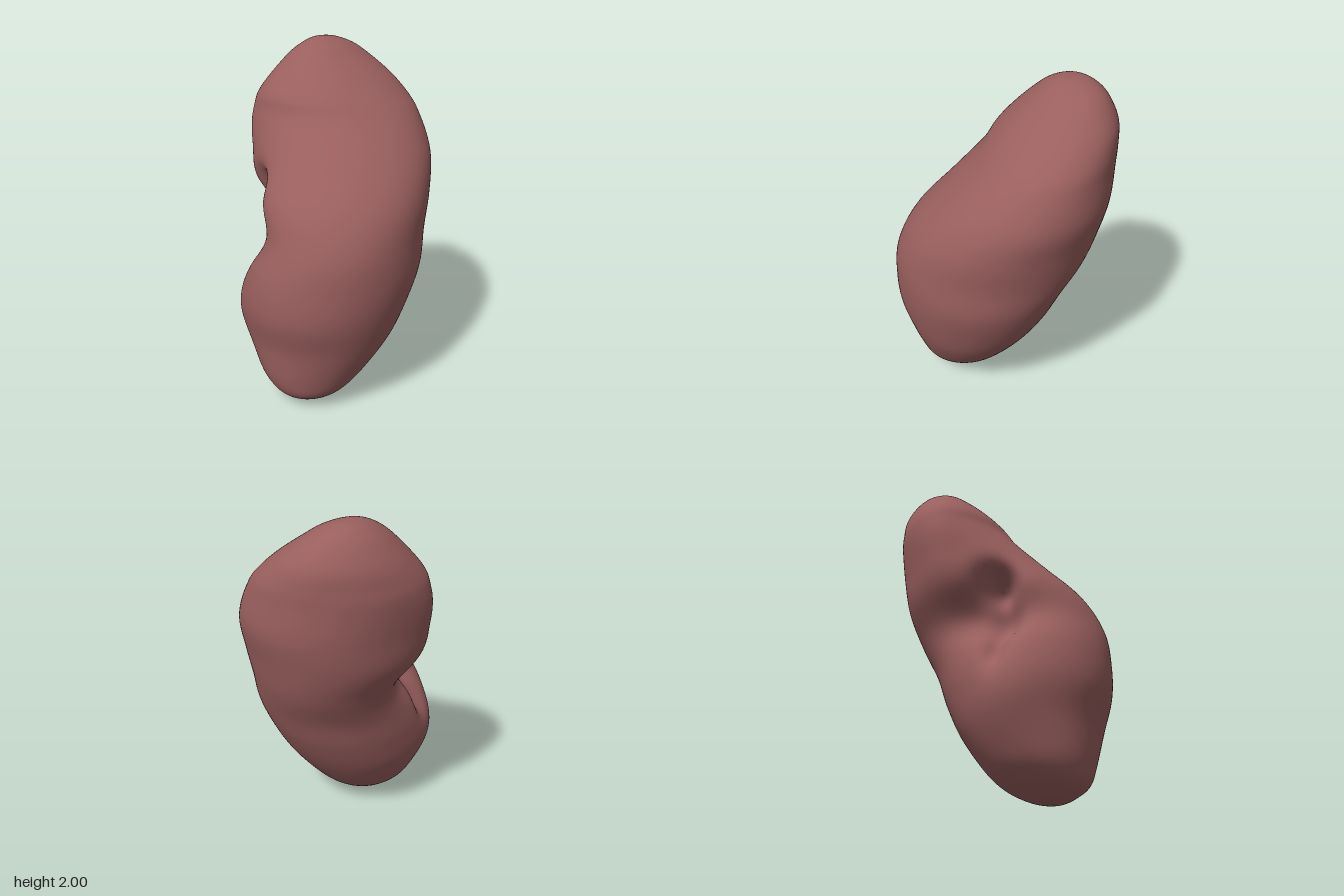
import * as THREE from 'three';

// Horizontal sections of the body: y, xMin, xMax, zMin, zMax, skew.
// Positive skew lengthens a section towards the notch, negative skew across it.
const LEVELS = [
  [0, 0.13, 0.13, 0.31, 0.31, 0],
  [0.01, 0.055, 0.2, 0.23, 0.38, 0],
  [0.045, -0.02, 0.27, 0.13, 0.45, 0],
  [0.1, -0.11, 0.34, 0.04, 0.51, 0],
  [0.2, -0.2, 0.4, -0.07, 0.55, 0.05],
  [0.4, -0.3, 0.49, -0.23, 0.575, 0.05],
  [0.6, -0.35, 0.55, -0.35, 0.615, 0],
  [0.8, -0.38, 0.58, -0.44, 0.6, -0.03],
  [1.0, -0.43, 0.575, -0.51, 0.54, -0.12],
  [1.2, -0.52, 0.53, -0.56, 0.48, -0.03],
  [1.4, -0.55, 0.42, -0.605, 0.35, 0.08],
  [1.6, -0.58, 0.26, -0.59, 0.235, 0.2],
  [1.7, -0.575, 0.16, -0.57, 0.2, 0.2],
  [1.8, -0.55, 0.04, -0.525, 0.125, 0.15],
  [1.9, -0.495, -0.1, -0.44, 0.03, 0.1],
  [1.955, -0.445, -0.18, -0.37, -0.04, 0.05],
  [1.99, -0.39, -0.265, -0.28, -0.12, 0],
  [2.0, -0.33, -0.33, -0.2, -0.2, 0],
];

// Hollows (+) and swellings (-) on the notched side: y, v, spreadY, spreadV, depth
const SPOTS = [
  [1.19, 0.09, 0.11, 0.1, 0.2],      // deep pit
  [0.95, 0.13, 0.14, 0.08, 0.09],    // groove running down from the pit
  [0.75, 0.09, 0.1, 0.06, 0.06],     // end of the groove
  [1.0, 0.05, 0.18, 0.27, 0.12],     // broad saddle
  [1.5, -0.25, 0.28, 0.18, -0.06],   // upper lobe
  [0.5, 0.17, 0.22, 0.2, -0.05],     // lower lobe
];

function bodyGeometry(rows = 136, sides = 120) {
  const curve = (f) => new THREE.CatmullRomCurve3(LEVELS.map(f), false, 'catmullrom', 0.5);
  const centre = curve(([y, a, b, c, d]) => new THREE.Vector3((a + b) / 2, y, (c + d) / 2));
  const shape = curve(([, a, b, c, d, skew]) => new THREE.Vector3((b - a) / 2, skew, (d - c) / 2));
  const pos = [], index = [];
  for (let j = 0; j <= rows; j++) {
    const c = centre.getPoint(j / rows), s = shape.getPoint(j / rows);
    for (let i = 0; i < sides; i++) {
      const t = (i / sides) * Math.PI * 2;
      const p = Math.cos(t) * Math.sqrt(1 + s.y), q = Math.sin(t) * Math.sqrt(1 - s.y);
      const x = c.x + s.x * (p + q) * Math.SQRT1_2;
      const z = c.z + s.z * (q - p) * Math.SQRT1_2;
      // u runs away from the notch, v along the thickness
      let u = (x - z) * Math.SQRT1_2;
      const v = (x + z) * Math.SQRT1_2;
      const side = THREE.MathUtils.smoothstep((c.x - c.z) * Math.SQRT1_2 - u, 0.03, 0.28);
      let push = 0;
      for (const [sy, sv, wy, wv, depth] of SPOTS)
        push += depth * Math.exp(-(((c.y - sy) / wy) ** 2) - ((v - sv) / wv) ** 2);
      u += push * side;
      pos.push((u + v) * Math.SQRT1_2, c.y, (v - u) * Math.SQRT1_2);
      if (j < rows) {
        const a = j * sides + i, b = j * sides + ((i + 1) % sides);
        index.push(a, a + sides, b, b, a + sides, b + sides);
      }
    }
  }
  const g = new THREE.BufferGeometry();
  g.setAttribute('position', new THREE.Float32BufferAttribute(pos, 3));
  g.setIndex(index);
  g.computeVertexNormals();
  // the pole rings are single points
  const n = g.attributes.normal;
  for (let i = 0; i < sides; i++) {
    n.setXYZ(i, 0, -1, 0);
    n.setXYZ(rows * sides + i, 0, 1, 0);
  }
  return g;
}

export function createModel() {
  const group = new THREE.Group();
  group.name = 'kidney';
  const body = new THREE.Mesh(bodyGeometry(), new THREE.MeshStandardMaterial({ color: 0x995f5e }));
  body.name = 'kidneyBody';
  group.add(body);
  return group;
}
